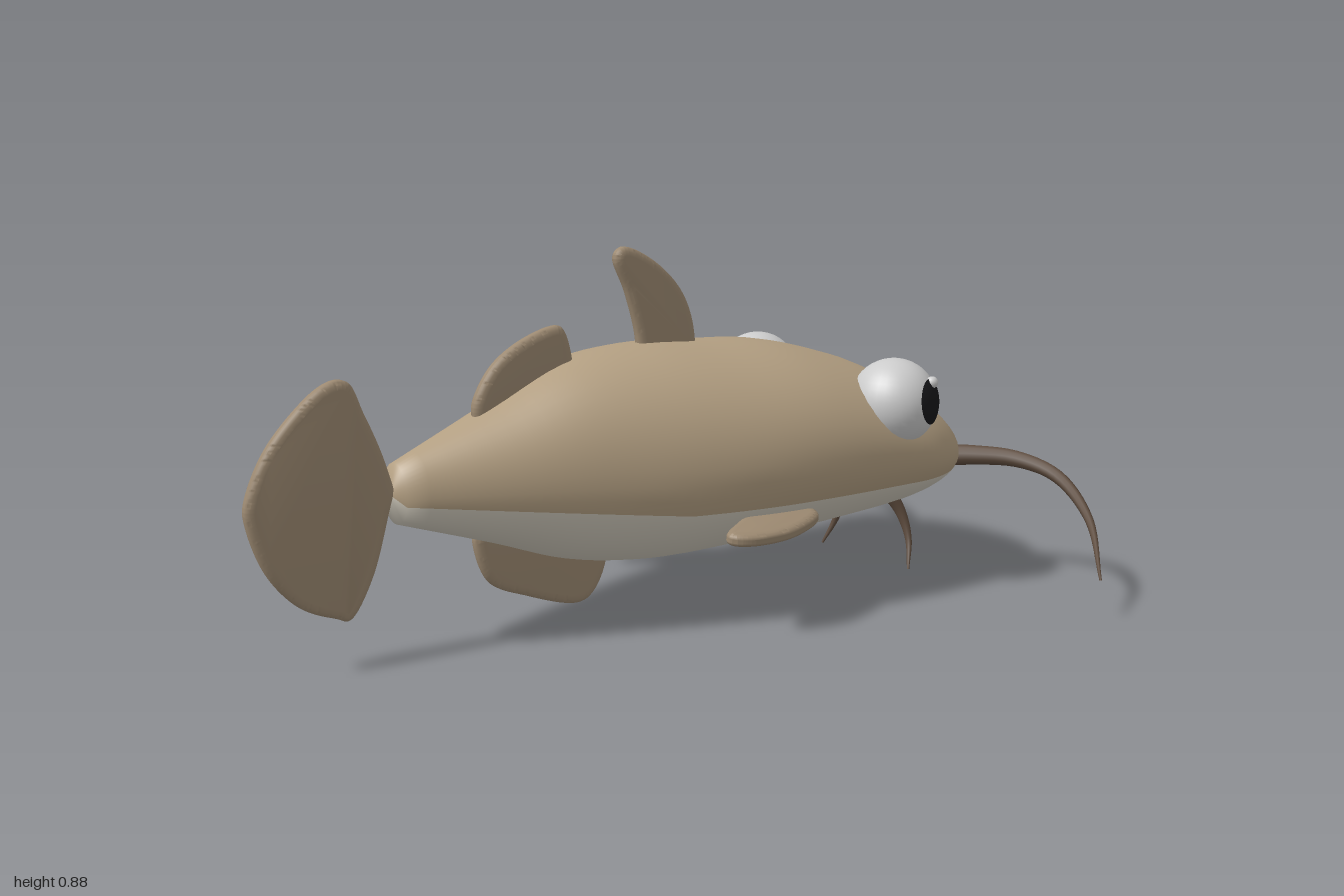
import * as THREE from 'three';
import { toCreasedNormals } from 'three/addons/utils/BufferGeometryUtils.js';

const V = (x, y, z) => new THREE.Vector3(x, y, z);
const paint = (color) => new THREE.MeshStandardMaterial({ color });
const tan = paint(0xb39f82), cream = paint(0xcfc9bb), finTan = paint(0x9c8971);
const brown = paint(0x5c4a3c), black = paint(0x17171a), white = paint(0xd6d6d6);

function part(name, geometry, material) {
  const mesh = new THREE.Mesh(geometry, material);
  mesh.name = name;
  return mesh;
}

// Body sections: x, top, bottom, half width
const SECTIONS = [
  [-0.64, 0.45, 0.31, 0.055], [-0.4, 0.545, 0.232, 0.145], [-0.2, 0.63, 0.163, 0.215],
  [0, 0.655, 0.135, 0.28], [0.2, 0.646, 0.139, 0.325], [0.4, 0.63, 0.15, 0.342],
  [0.6, 0.58, 0.165, 0.34], [0.72, 0.53, 0.18, 0.33], [0.82, 0.475, 0.2, 0.287],
  [0.89, 0.425, 0.225, 0.228], [0.925, 0.388, 0.25, 0.165], [0.94, 0.355, 0.275, 0.09],
  [0.944, 0.315, 0.315, 0],
];

// Lofted body; back and belly share vertices and normals, so the seam is smooth
function buildBody() {
  const heights = new THREE.CatmullRomCurve3(SECTIONS.map(([x, t, b]) => V(x, t, b)), false, 'catmullrom');
  const widths = new THREE.CatmullRomCurve3(SECTIONS.map(([x, , , w]) => V(x, w, 0)), false, 'catmullrom');
  const steps = 60, upper = 26, lower = 22, around = upper + lower;
  const rings = [[-0.655, 0.38, 0.38, 0]];
  for (let i = 0; i <= steps; i++) {
    const h = heights.getPoint(i / steps);
    rings.push([h.x, h.y, h.z, Math.max(0, widths.getPoint(i / steps).y)]);
  }
  const pos = [], back = [], belly = [];
  rings.forEach(([x, top, bottom, w], i) => {
    const mid = bottom + 0.46 * (top - bottom);
    const seamY = 0.285 + 0.115 * Math.max(0, -x);
    const s = THREE.MathUtils.clamp((seamY - mid) / Math.max(mid - bottom, 1e-4), -0.65, 0);
    const a0 = Math.asin(s);
    for (let j = 0; j < around; j++) {
      const a = j < upper
        ? a0 + (Math.PI - 2 * a0) * j / upper
        : Math.PI - a0 + (Math.PI + 2 * a0) * (j - upper) / lower;
      const r = Math.sin(a) > 0 ? top - mid : mid - bottom;
      pos.push(x, mid + r * Math.sin(a), w * Math.cos(a));
      if (i === rings.length - 1) continue;
      const k = (j + 1) % around;
      const p = i * around + j, q = i * around + k;
      (j < upper ? back : belly).push(p, p + around, q + around, p, q + around, q);
    }
  });
  const whole = new THREE.BufferGeometry();
  whole.setAttribute('position', new THREE.Float32BufferAttribute(pos, 3));
  whole.setIndex([...back, ...belly]);
  whole.computeVertexNormals();
  const half = (index) => whole.clone().setIndex(index);
  const body = new THREE.Group();
  body.name = 'body';
  body.add(part('back', half(back), tan), part('belly', half(belly), cream));
  return body;
}

// Thin fin with rounded edges, outlined in the xy plane
function fin(points, bevel = 0.02) {
  const pts = points.map(([x, y]) => new THREE.Vector2(x, y));
  const shape = new THREE.Shape();
  shape.moveTo(pts[0].x, pts[0].y);
  shape.splineThru(pts.slice(1));
  shape.closePath();
  const g = new THREE.ExtrudeGeometry(shape, {
    depth: 0.01, bevelThickness: 0.011, bevelSize: bevel, bevelOffset: -bevel,
    bevelSegments: 3, curveSegments: 24,
  });
  g.translate(0, 0, -0.005);
  return toCreasedNormals(g, 0.9);
}

// Tube along a curve, its radius running from r0 to r1
function taperedTube(points, r0, r1) {
  const curve = new THREE.CatmullRomCurve3(points);
  const n = 28, sides = 10;
  const g = new THREE.TubeGeometry(curve, n, 1, sides);
  const p = g.attributes.position, v = V();
  for (let i = 0; i < p.count; i++) {
    const t = Math.floor(i / (sides + 1)) / n;
    const c = curve.getPointAt(t);
    v.fromBufferAttribute(p, i).sub(c).multiplyScalar(THREE.MathUtils.lerp(r0, r1, t)).add(c);
    p.setXYZ(i, v.x, v.y, v.z);
  }
  return g;
}

function buildEye() {
  const eye = new THREE.Group();
  eye.name = 'eye';
  eye.position.set(0.62, 0.485, 0.262);
  const pupil = part('pupil', new THREE.SphereGeometry(0.112, 28, 10, 0, Math.PI * 2, 0, 0.53), black);
  pupil.quaternion.setFromUnitVectors(V(0, 1, 0), V(0.4, 0.1, 0.9).normalize());
  const glint = part('glint', new THREE.SphereGeometry(0.015, 14, 10), white);
  glint.position.set(0.047, 0.056, 0.084);
  eye.add(part('eyeball', new THREE.SphereGeometry(0.109, 32, 22), white), pupil, glint);
  return eye;
}

// Everything paired, built on the +z side
function buildSide() {
  const side = new THREE.Group();
  const pectoral = part('pectoralFin', fin([
    [0.34, 0.27], [0.32, 0.33], [0.2, 0.385], [0.1, 0.392], [0.04, 0.37], [0.035, 0.335], [0.1, 0.29], [0.17, 0.25],
  ]).rotateX(Math.PI / 2 + 0.12), finTan);
  pectoral.position.set(0, 0.285, 0);
  side.add(
    buildEye(), pectoral,
    part('longBarbel', taperedTube([
      V(0.865, 0.305, 0.19), V(0.91, 0.312, 0.26), V(0.965, 0.312, 0.36), V(0.992, 0.285, 0.47),
      V(0.955, 0.21, 0.61), V(0.845, 0.1, 0.75),
    ], 0.029, 0.003), brown),
    part('chinBarbel', taperedTube([
      V(0.765, 0.21, 0.095), V(0.798, 0.15, 0.115), V(0.806, 0.08, 0.14), V(0.782, 0.006, 0.167),
    ], 0.02, 0.003), brown),
  );
  return side;
}

export function createModel() {
  const fish = new THREE.Group();
  fish.name = 'catfish';
  fish.add(buildBody());

  // Mouth line wrapping the snout
  const lip = new THREE.CatmullRomCurve3([
    V(0.875, 0.318, 0.23), V(0.915, 0.3, 0.165), V(0.936, 0.288, 0.08), V(0.941, 0.284, 0),
    V(0.936, 0.288, -0.08), V(0.915, 0.3, -0.165), V(0.875, 0.318, -0.23),
  ]);
  fish.add(part('mouth', new THREE.TubeGeometry(lip, 40, 0.016, 10), black));

  // Fins on the centre line
  fish.add(
    part('dorsalFin', fin([
      [0.03, 0.58], [0.02, 0.68], [-0.01, 0.78], [-0.043, 0.855], [-0.025, 0.886], [0.02, 0.877],
      [0.09, 0.835], [0.15, 0.775], [0.185, 0.7], [0.2, 0.6],
    ]), finTan),
    part('rearDorsalFin', fin([
      [-0.43, 0.5], [-0.435, 0.56], [-0.39, 0.635], [-0.32, 0.685], [-0.23, 0.716], [-0.19, 0.706],
      [-0.167, 0.63], [-0.17, 0.56],
    ]), finTan),
    part('analFin', fin([
      [-0.42, 0.3], [-0.44, 0.235], [-0.4, 0.135], [-0.3, 0.086], [-0.17, 0.045], [-0.11, 0.065],
      [-0.073, 0.14], [-0.08, 0.22],
    ]), finTan),
    part('tailFin', fin([
      [-0.645, 0.39], [-0.675, 0.48], [-0.715, 0.57], [-0.755, 0.645], [-0.83, 0.632], [-0.94, 0.53],
      [-0.998, 0.42], [-0.998, 0.35], [-0.957, 0.245], [-0.885, 0.162], [-0.8, 0.122], [-0.755, 0.117],
      [-0.7, 0.21], [-0.66, 0.34],
    ]), finTan),
  );

  // Mirrored pairs
  const right = buildSide(), left = buildSide();
  right.name = 'nearSide';
  left.name = 'farSide';
  left.scale.z = -1;
  fish.add(right, left);
  return fish;
}
